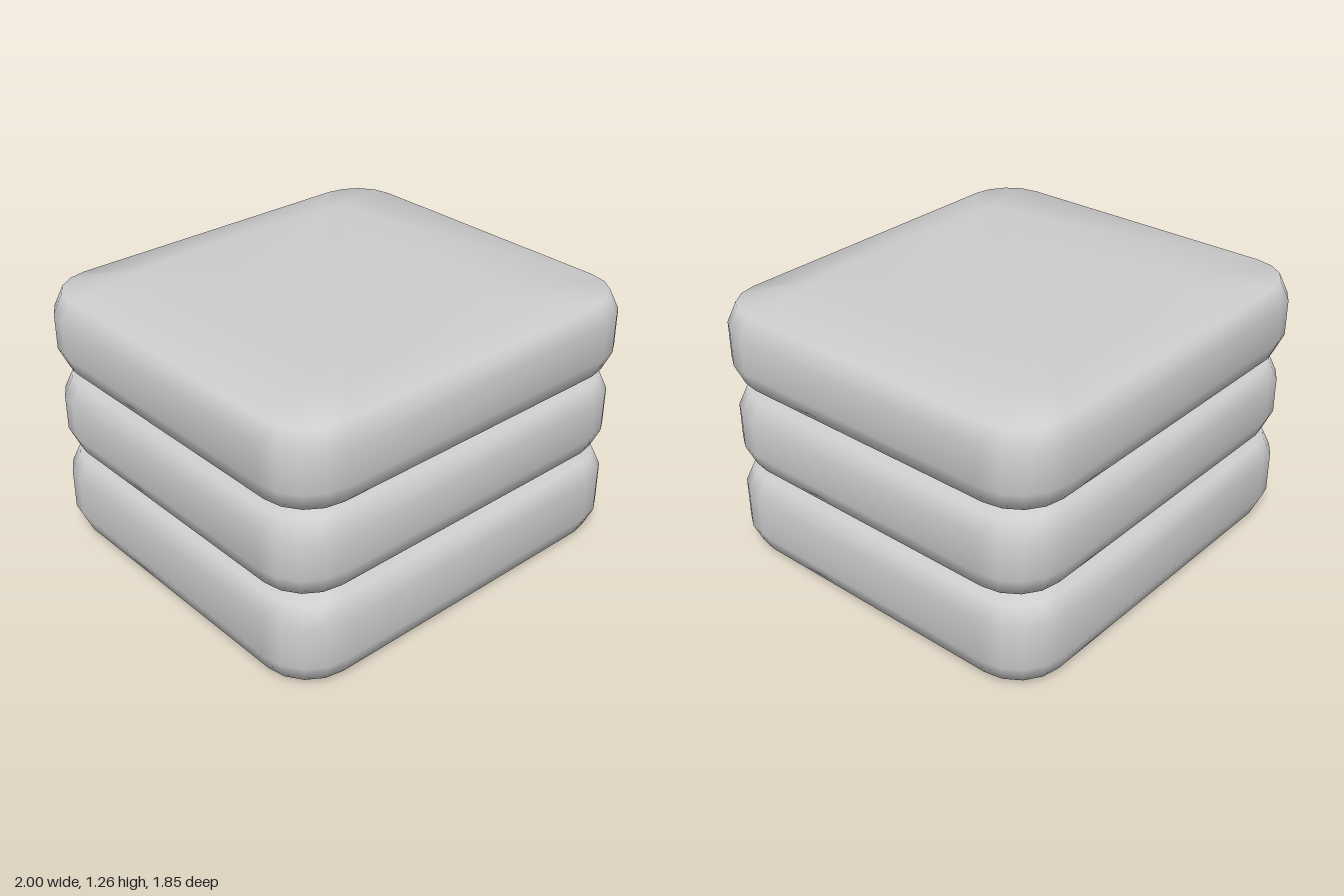
import * as THREE from 'three';

const HALF_X = 1, HALF_Z = 0.92, CORNER_STEPS = 4;

// Rounded-rectangle ring, counter-clockwise seen from above
function ring(halfX, halfZ, radius, y) {
  const points = [];
  for (let corner = 0; corner < 4; corner++) {
    const sx = corner === 0 || corner === 3 ? 1 : -1;
    const sz = corner < 2 ? -1 : 1;
    for (let i = 0; i <= CORNER_STEPS; i++) {
      const a = (corner + i / CORNER_STEPS) * Math.PI / 2;
      points.push(
        sx * (halfX - radius) + radius * Math.cos(a),
        y,
        sz * (halfZ - radius) - radius * Math.sin(a)
      );
    }
  }
  return points;
}

// Soft slab: rings joined from bottom to top, closed by two fans
function cushionGeometry(height, depth) {
  const lip = 0.026;
  const sections = [ // x inset, z inset, corner radius, y
    [0.38, 0.24, 0.08, 0],
    [0.04, 0.04, 0.22, lip],
    [0, 0, 0.25, 0.12],
    [0, 0, 0.25, height - 0.12],
    [0.04, 0.04, 0.22, height - lip],
    [0.38, 0.24, 0.08, height]
  ];
  const positions = sections.flatMap(([ix, iz, r, y]) => ring(HALF_X - ix, depth - iz, r, y));
  const n = 4 * (CORNER_STEPS + 1);
  const index = [];
  for (let s = 0; s < sections.length - 1; s++) {
    for (let i = 0; i < n; i++) {
      const a = s * n + i, b = s * n + (i + 1) % n;
      index.push(a, b, b + n, a, b + n, a + n);
    }
  }
  const bottom = sections.length * n, top = bottom + 1, last = (sections.length - 1) * n;
  positions.push(0, 0, 0, 0, height, 0);
  for (let i = 0; i < n; i++) {
    const j = (i + 1) % n;
    index.push(bottom, j, i, top, last + i, last + j);
  }
  const geometry = new THREE.BufferGeometry();
  geometry.setAttribute('position', new THREE.Float32BufferAttribute(positions, 3));
  geometry.setIndex(index);
  geometry.computeVertexNormals();
  return geometry;
}

export function createModel() {
  const group = new THREE.Group();
  group.name = 'cushionStack';
  const fabric = new THREE.MeshStandardMaterial({ color: 0xcccccc });
  fabric.name = 'lightGreyFabric';

  // Three cushions resting on each other
  const layers = [
    ['bottomCushion', 0, 0.44, HALF_Z],
    ['middleCushion', 0.44, 0.41, HALF_Z - 0.01],
    ['topCushion', 0.85, 0.41, HALF_Z + 0.005]
  ];
  for (const [name, y, height, depth] of layers) {
    const cushion = new THREE.Mesh(cushionGeometry(height, depth), fabric);
    cushion.name = name;
    cushion.position.y = y;
    group.add(cushion);
  }
  return group;
}
